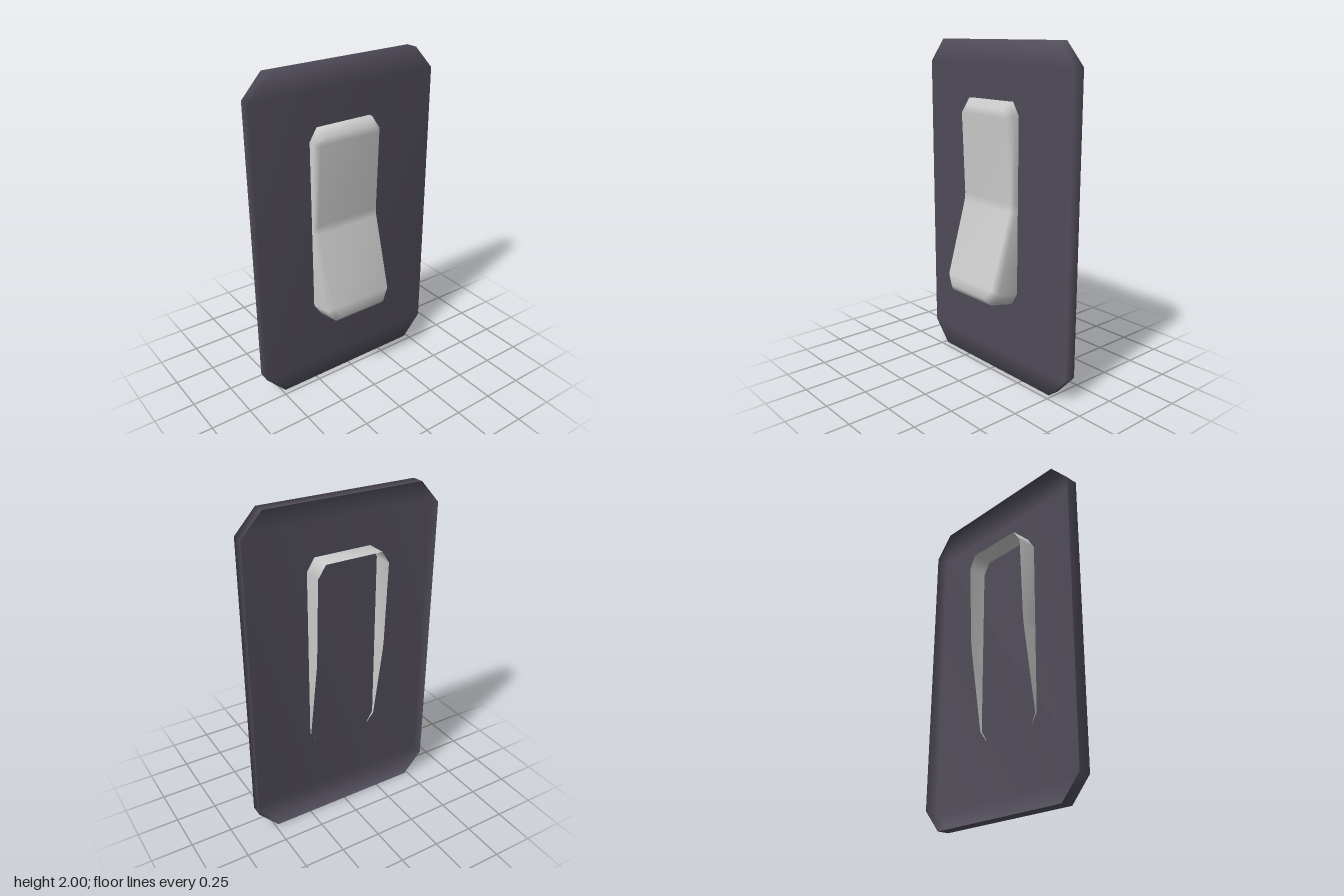
import * as THREE from 'three';

// Open-backed shell: each layer is a list of rows [y, z, halfWidth] from top to bottom,
// layers run from the back rim to the front, and the last layer is closed by a face.
function shell(layers, cx) {
  const rows = layers[0].length, ring = rows * 2;
  const pos = [], idx = [];
  for (const layer of layers) {
    for (const [y, z, w] of layer) pos.push(cx + w, y, z);
    for (const [y, z, w] of [...layer].reverse()) pos.push(cx - w, y, z);
  }
  // Walls between layers
  for (let l = 0; l < layers.length - 1; l++) {
    for (let i = 0; i < ring; i++) {
      const j = (i + 1) % ring;
      const a = l * ring + i, b = l * ring + j, c = b + ring, d = a + ring;
      idx.push(a, d, c, a, c, b);
    }
  }
  // Front face
  const o = (layers.length - 1) * ring;
  for (let r = 0; r < rows - 1; r++) {
    const R = o + r, L = o + ring - 1 - r;
    idx.push(R, L, L - 1, R, L - 1, R + 1);
  }
  const geo = new THREE.BufferGeometry();
  geo.setAttribute('position', new THREE.Float32BufferAttribute(pos, 3));
  geo.setIndex(idx);
  geo.computeVertexNormals();
  return geo;
}

function part(name, geo, color) {
  const mesh = new THREE.Mesh(geo, new THREE.MeshStandardMaterial({ color, side: THREE.DoubleSide }));
  mesh.name = name;
  return mesh;
}

export function createModel() {
  const group = new THREE.Group();
  group.name = 'lightSwitch';

  // Wall plate: shallow octagonal cover, hollow at the back
  const plateLayer = z => [[2, z, 0.48], [1.866, z, 0.602], [0.134, z, 0.602], [0, z, 0.48]];
  group.add(part('wallPlate', shell([plateLayer(-0.11), plateLayer(-0.035)], 0), 0x4f4b58));

  // Rocker: bent at the middle, with a softened front edge and an open back
  const back = [
    [1.665, -0.157, 0.178], [1.59, -0.154, 0.225], [1.09, -0.132, 0.225],
    [1.04, -0.127, 0.225], [0.54, -0.047, 0.225], [0.467, -0.035, 0.178],
  ];
  const edge = [
    [1.665, -0.01, 0.178], [1.59, 0.0, 0.225], [1.09, -0.02, 0.225],
    [1.04, -0.018, 0.225], [0.57, 0.105, 0.225], [0.5, 0.128, 0.178],
  ];
  const front = [
    [1.625, 0.032, 0.155], [1.58, 0.03, 0.198], [1.09, 0.004, 0.205],
    [1.04, 0.01, 0.205], [0.6, 0.142, 0.198], [0.54, 0.157, 0.155],
  ];
  group.add(part('rocker', shell([back, edge, front], -0.025), 0xcccccc));

  return group;
}
